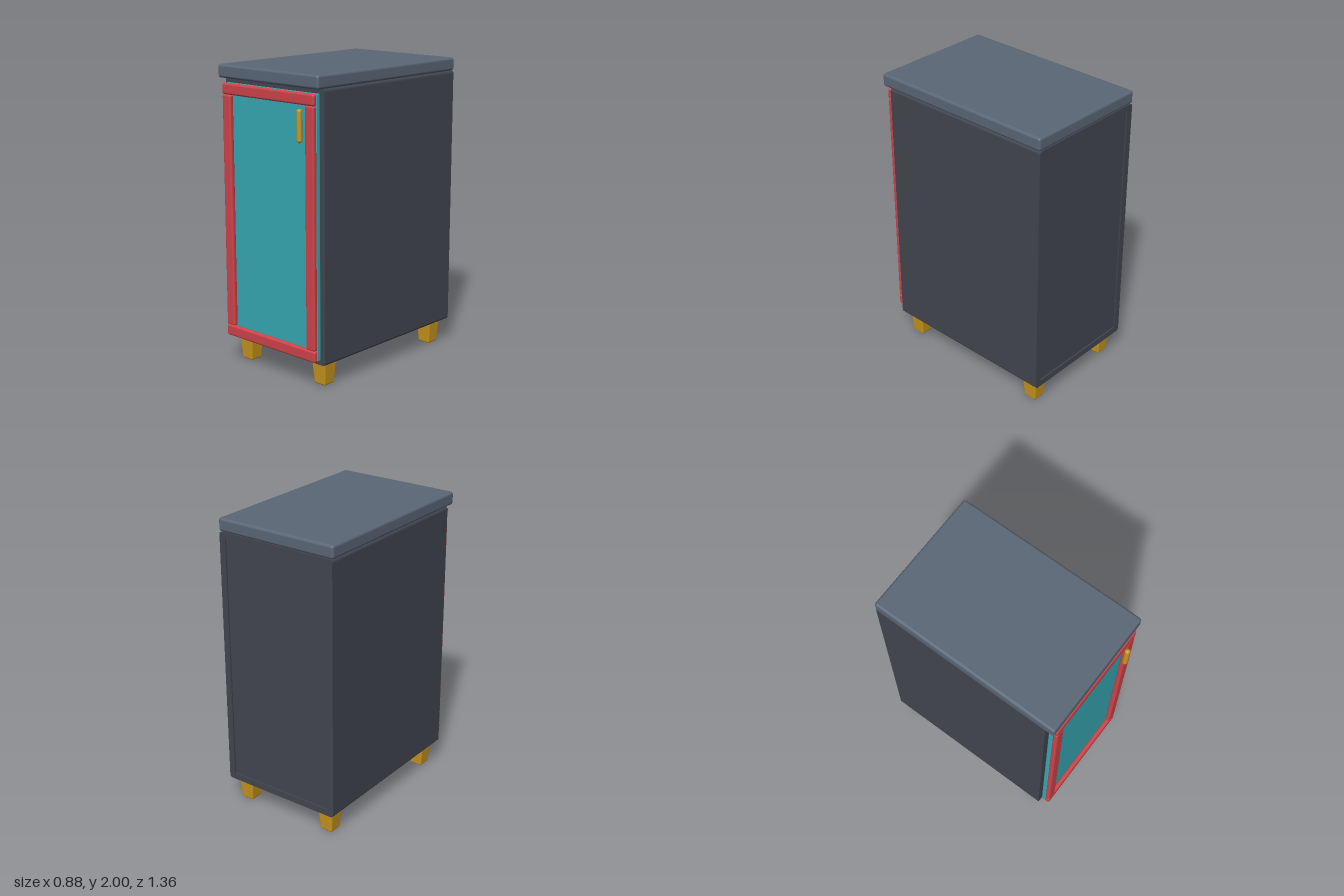
import * as THREE from 'three';
import { RoundedBoxGeometry } from 'three/addons/geometries/RoundedBoxGeometry.js';

const paint = (name, color) => {
  const m = new THREE.MeshStandardMaterial({ color });
  m.name = name;
  return m;
};

export function createModel() {
  const cabinet = new THREE.Group();
  cabinet.name = 'cabinet';
  const charcoal = paint('charcoal', 0x42464f);
  const slate = paint('slate', 0x5a6776);
  const red = paint('red', 0xcf444a);
  const teal = paint('teal', 0x36a9b5);
  const gold = paint('gold', 0xcb981f);

  const add = (name, geometry, material, parent = cabinet) => {
    const mesh = new THREE.Mesh(geometry, material);
    mesh.name = name;
    parent.add(mesh);
    return mesh;
  };

  // Rounded box given by its extents along x, y and z
  const block = (name, [x0, x1], [y0, y1], [z0, z1], radius, material, parent) => {
    const g = new RoundedBoxGeometry(x1 - x0, y1 - y0, z1 - z0, 3, radius);
    g.translate((x0 + x1) / 2, (y0 + y1) / 2, (z0 + z1) / 2);
    return add(name, g, material, parent);
  };

  // Carcass: a rounded rectangular tube running front to back
  const w = 0.435, y0 = 0.16, y1 = 1.912, r = 0.02, wall = 0.045;
  const outline = new THREE.Shape();
  outline.moveTo(-w + r, y0);
  outline.lineTo(w - r, y0);
  outline.absarc(w - r, y0 + r, r, -Math.PI / 2, 0);
  outline.absarc(w - r, y1 - r, r, 0, Math.PI / 2);
  outline.absarc(-w + r, y1 - r, r, Math.PI / 2, Math.PI);
  outline.absarc(-w + r, y0 + r, r, Math.PI, Math.PI * 1.5);
  const opening = new THREE.Path();
  opening.moveTo(-w + wall, y0 + wall);
  opening.lineTo(-w + wall, y1 - wall);
  opening.lineTo(w - wall, y1 - wall);
  opening.lineTo(w - wall, y0 + wall);
  opening.closePath();
  outline.holes.push(opening);
  const shell = new THREE.ExtrudeGeometry(outline, { depth: 1.263, bevelEnabled: false, curveSegments: 5 });
  shell.translate(0, 0, -0.68);
  add('carcass', shell, charcoal);

  // Slightly recessed back panel
  const back = new THREE.BoxGeometry(2 * (w - wall), y1 - y0 - 2 * wall, 0.03);
  back.translate(0, (y0 + y1) / 2, -0.655);
  add('backPanel', back, charcoal);

  // Worktop overhanging the front
  block('worktop', [-0.441, 0.441], [1.912, 2], [-0.681, 0.647], 0.018, slate);

  // Framed door
  const door = new THREE.Group();
  door.name = 'door';
  cabinet.add(door);
  block('doorPanel', [-0.402, 0.402], [0.192, 1.882], [0.587, 0.619], 0.006, teal, door);
  block('bottomRail', [-0.404, 0.404], [0.19, 0.266], [0.615, 0.649], 0.014, red, door);
  block('topRail', [-0.404, 0.404], [1.81, 1.884], [0.615, 0.649], 0.014, red, door);
  for (const s of [-1, 1]) {
    const span = s > 0 ? [0.329, 0.402] : [-0.402, -0.329];
    block(s > 0 ? 'leftStile' : 'rightStile', span, [0.266, 1.81], [0.615, 0.649], 0.012, red, door);
  }

  // Bar handle
  const bar = new THREE.CapsuleGeometry(0.0175, 0.185, 6, 16);
  bar.scale(1, 0.95, 1);
  bar.translate(0.302, 1.685, 0.663);
  add('handle', bar, gold, door);

  // Tapered square legs, tucked into the carcass floor
  const legHeight = 0.175;
  for (const x of [-0.336, 0.336]) {
    for (const z of [-0.58, 0.487]) {
      const leg = new RoundedBoxGeometry(0.12, legHeight, 0.12, 3, 0.011);
      leg.translate(0, legHeight / 2, 0);
      const p = leg.attributes.position;
      for (let i = 0; i < p.count; i++) {
        const k = 0.75 + 0.25 * (p.getY(i) / legHeight);
        p.setX(i, p.getX(i) * k);
        p.setZ(i, p.getZ(i) * k);
      }
      leg.computeVertexNormals();
      leg.translate(x, 0, z);
      add((z > 0 ? 'front' : 'back') + (x > 0 ? 'Left' : 'Right') + 'Leg', leg, gold);
    }
  }
  return cabinet;
}
